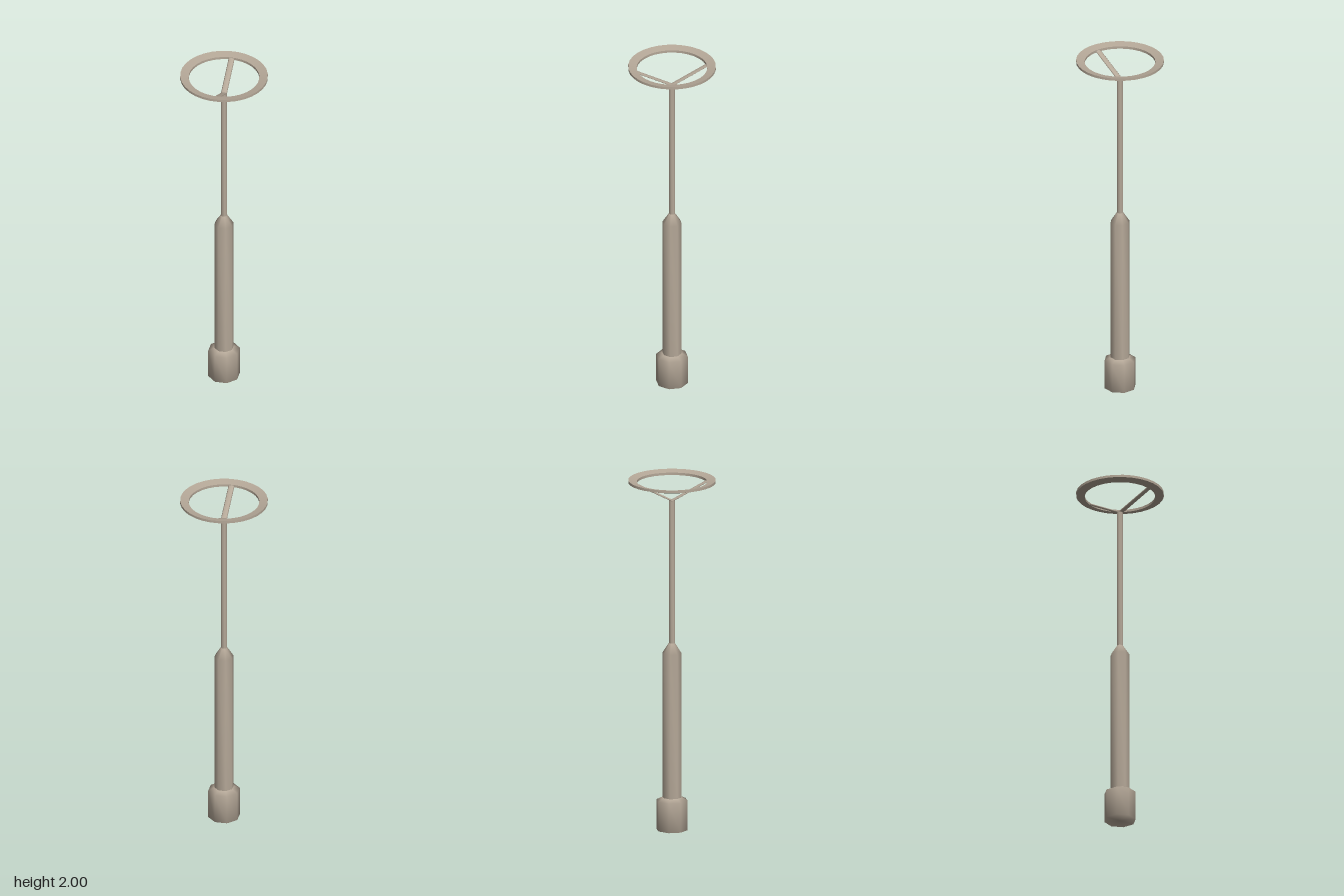
import * as THREE from 'three';
import { mergeVertices, mergeGeometries } from 'three/addons/utils/BufferGeometryUtils.js';

const metal = new THREE.MeshStandardMaterial({ color: 0xb5a898 });
metal.name = 'warm grey metal';

// Turned shape with n flat sides; points are [apothem, y]
function turned(points, n) {
  const k = 1 / Math.cos(Math.PI / n);
  return new THREE.LatheGeometry(points.map(([r, y]) => new THREE.Vector2(r * k, y)), n, Math.PI / n);
}

// Weld a geometry so its normals are smooth and weighted by area
function smooth(geometry) {
  geometry.deleteAttribute('normal');
  geometry.deleteAttribute('uv');
  const welded = mergeVertices(geometry, 1e-5);
  welded.computeVertexNormals();
  return welded;
}

function add(group, name, geometry) {
  const mesh = new THREE.Mesh(geometry, metal);
  mesh.name = name;
  group.add(mesh);
  return mesh;
}

export function createModel() {
  const group = new THREE.Group();
  group.name = 'stand';

  // Octagonal foot with a bevelled shoulder
  add(group, 'foot', smooth(turned([[0, 0], [0.082, 0], [0.082, 0.168], [0.05, 0.185]], 8)));

  // Thick sleeve tapering into the thin pole
  add(group, 'sleeve', smooth(turned([[0.05, 0.185], [0.05, 1.01], [0.016, 1.067]], 8)));
  add(group, 'pole', smooth(turned([[0.016, 1.067], [0.016, 1.88], [0, 1.884]], 8)));

  // Slightly dished rim, smooth around and creased between bands
  const rim = [[0.242, 1.986], [0.242, 2], [0.195, 1.99], [0.195, 1.976], [0.205, 1.975]];
  const bands = rim.map((p, i) => turned([p, rim[(i + 1) % rim.length]], 32));
  add(group, 'rim', mergeGeometries(bands));

  // Two flattened struts rising from the pole to the rim
  for (const side of [1, -1]) {
    const start = new THREE.Vector3(0, 1.881, 0);
    const end = new THREE.Vector3(0, 1.983, side * 0.198);
    const axis = end.clone().sub(start);
    const strut = add(group, side > 0 ? 'frontStrut' : 'backStrut',
      new THREE.CylinderGeometry(1, 1, axis.length(), 8));
    strut.scale.set(0.017, 1, 0.005);
    strut.quaternion.setFromUnitVectors(new THREE.Vector3(0, 1, 0), axis.clone().normalize());
    strut.position.copy(start).add(end).multiplyScalar(0.5);
  }
  return group;
}
